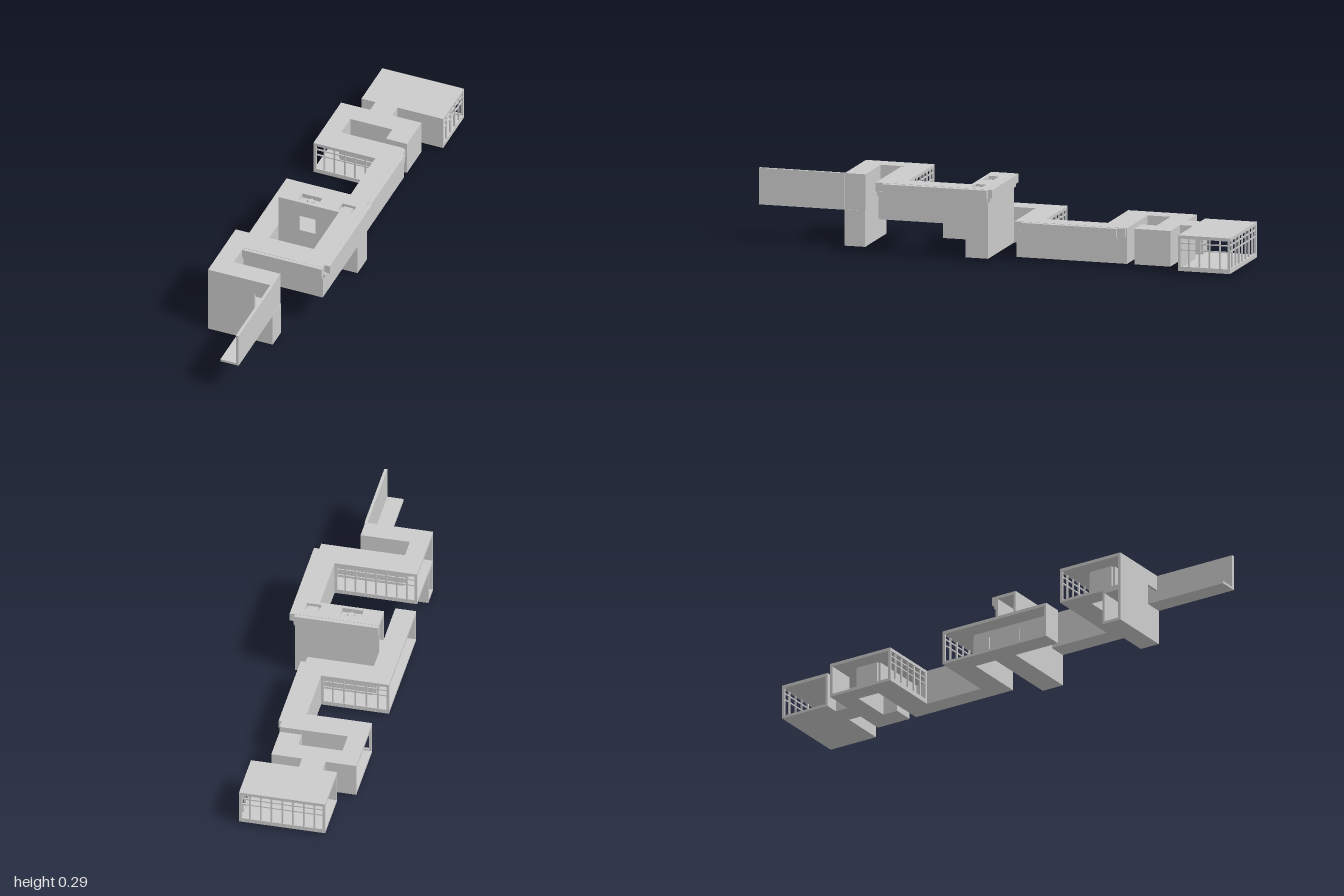
import * as THREE from 'three';

export function createModel() {
  const model = new THREE.Group();
  model.name = 'terracedBuilding';
  const mat = new THREE.MeshStandardMaterial({ color: 0xcccccc, flatShading: true });
  const T = 0.01; // wall thickness

  const box = (parent, name, x0, x1, y0, y1, z0, z1) => {
    const m = new THREE.Mesh(new THREE.BoxGeometry(x1 - x0, y1 - y0, z1 - z0), mat);
    m.position.set((x0 + x1) / 2, (y0 + y1) / 2, (z0 + z1) / 2);
    m.name = name;
    parent.add(m);
    return m;
  };

  // Flat slab from an outline of [x, z] corners, with optional rectangular holes
  const slab = (parent, name, pts, top, thick, holes = []) => {
    const shape = new THREE.Shape(pts.map(p => new THREE.Vector2(p[0], p[1])));
    for (const [x0, x1, z0, z1] of holes) {
      shape.holes.push(new THREE.Path([[x0, z0], [x0, z1], [x1, z1], [x1, z0]]
        .map(p => new THREE.Vector2(p[0], p[1]))));
    }
    const g = new THREE.ExtrudeGeometry(shape, { depth: thick, bevelEnabled: false });
    g.rotateX(Math.PI / 2);
    const m = new THREE.Mesh(g, mat);
    m.position.y = top;
    m.name = name;
    parent.add(m);
  };

  // One facade between two corners; local x runs along it, local z points inward
  const facade = (parent, a, b, type, y0, y1) => {
    const dx = b[0] - a[0], dz = b[1] - a[1], len = Math.hypot(dx, dz);
    const g = new THREE.Group();
    g.position.set(a[0], 0, a[1]);
    g.rotation.y = -Math.atan2(dz, dx);
    parent.add(g);
    if (type === 'wall') {
      g.name = 'solidWall';
      box(g, 'wallPanel', 0, len, y0, y1, 0, T);
    } else if (type === 'door') {
      g.name = 'doorway';
      box(g, 'lintel', 0, len, y1 - 0.05, y1, 0, T);
    } else {
      g.name = type === 'glazed' ? 'windowGrid' : 'openFrame';
      box(g, 'post', 0, T, y0, y1, 0, T);
      box(g, 'post', len - T, len, y0, y1, 0, T);
      if (type === 'glazed') {
        const n = Math.round(len / 0.043), h = y1 - y0;
        for (let i = 1; i < n; i++) {
          const x = i * len / n;
          box(g, 'mullion', x - 0.003, x + 0.003, y0, y1, 0.002, 0.009);
        }
        for (const f of [0.62, 0.84]) {
          box(g, 'transom', 0, len, y0 + f * h - 0.0025, y0 + f * h + 0.0025, 0.003, 0.008);
        }
        box(g, 'sill', 0, len, y0, y0 + 0.007, 0, T);
      }
    }
  };

  // A storey: floor, roof and one facade per outline edge, as [x, z, facade type]
  const storey = (name, edges, y0, y1, holes) => {
    const g = new THREE.Group();
    g.name = name;
    model.add(g);
    slab(g, 'floor', edges, y0 + 0.011, 0.011);
    slab(g, 'roof', edges, y1, 0.013, holes);
    edges.forEach((a, i) =>
      facade(g, a, edges[(i + 1) % edges.length], a[2], y0 + 0.011, y1 - 0.013));
    return g;
  };

  // Winding lower storey
  const lower = storey('lowerStorey', [
    [-0.15, -1, 'glazed'], [0.2, -1, 'glazed'], [0.2, -0.785, 'wall'],
    [0.005, -0.785, 'wall'], [0.005, -0.73, 'wall'], [0.13, -0.73, 'wall'],
    [0.13, -0.58, 'wall'], [0.04, -0.58, 'wall'], [0.04, -0.645, 'wall'],
    [-0.14, -0.645, 'wall'], [-0.14, -0.55, 'wall'], [0.13, -0.55, 'wall'],
    [0.13, -0.09, 'wall'], [-0.14, -0.09, 'wall'], [-0.14, 0.3, 'wall'],
    [-0.225, 0.3, 'wall'], [-0.225, -0.19, 'open'], [-0.225, -0.19, 'glazed'],
    [0.05, -0.19, 'wall'], [0.05, -0.445, 'glazed'], [-0.215, -0.445, 'open'],
    [-0.215, -0.73, 'wall'], [-0.09, -0.73, 'wall'], [-0.09, -0.785, 'wall'],
    [-0.15, -0.785, 'open'],
  ].filter((p, i, all) => i === 0 || p[0] !== all[i - 1][0] || p[1] !== all[i - 1][1])
    .map(p => (p[0] === -0.225 && p[1] === -0.19 ? [p[0], p[1], 'glazed'] : p[0] === -0.225 ? [p[0], p[1], 'open'] : p)),
  0.013, 0.157);
  // End wall of the long gallery
  box(lower, 'galleryEndWall', -0.225, -0.14, 0.024, 0.144, 0.29, 0.3);

  // Winding upper storey with roof lights over the tower
  storey('upperStorey', [
    [-0.14, 0.005, 'wall'], [0.2, 0.005, 'wall'], [0.2, 0.46, 'wall'],
    [-0.14, 0.46, 'wall'], [-0.14, 0.56, 'wall'], [0.06, 0.56, 'wall'],
    [0.06, 0.645, 'door'], [-0.015, 0.645, 'wall'], [-0.215, 0.645, 'open'],
    [-0.215, 0.36, 'glazed'], [0.12, 0.36, 'wall'], [0.12, 0.1, 'wall'],
    [0.02, 0.1, 'door'], [-0.05, 0.1, 'wall'], [-0.14, 0.1, 'open'],
  ], 0.145, 0.293, [[-0.06, 0.025, 0.042, 0.085], [0.11, 0.17, 0.042, 0.085]]);

  // Roof light inserts
  const diamond = box(model, 'roofLight', -0.012, 0.012, 0.27, 0.285, -0.012, 0.012);
  diamond.position.set(-0.015, 0.277, 0.063);
  diamond.rotation.y = Math.PI / 4;
  box(model, 'roofLight', 0.12, 0.16, 0.27, 0.285, 0.046, 0.08);
  box(model, 'roofLightBase', -0.065, 0.175, 0.262, 0.27, 0.037, 0.09);

  // Ground supports under the upper storey
  box(model, 'towerBase', -0.14, 0.2, 0.013, 0.146, 0.005, 0.1);
  storey('frontSupport', [[-0.215, 0.56, 'wall'], [0.062, 0.56, 'wall'],
    [0.062, 0.645, 'wall'], [-0.215, 0.645, 'open']], 0, 0.146);

  // Stepped cornices on the outer faces: [x0, x1, z0, z1] per run
  const cornice = (name, top, runs, strips) => {
    const g = new THREE.Group();
    g.name = name;
    model.add(g);
    for (const [x0, x1, z0, z1] of runs) box(g, 'corniceBand', x0, x1, top - 0.035, top, z0, z1);
    for (const [x0, x1, z0, z1] of strips) box(g, 'corniceStep', x0, x1, top - 0.052, top - 0.035, z0, z1);
  };
  cornice('upperCornice', 0.292,
    [[0.2, 0.222, 0.005, 0.44], [-0.14, 0.2, -0.012, 0.005], [-0.14, 0.2, 0.46, 0.473]],
    [[0.2, 0.207, 0.005, 0.455], [-0.14, 0.2, -0.003, 0.005], [-0.14, 0.2, 0.46, 0.466]]);
  cornice('lowerCornice', 0.156,
    [[0.13, 0.15, -0.51, -0.115], [-0.14, 0.13, -0.09, -0.082], [0.13, 0.138, -0.545, -0.51]],
    [[0.13, 0.137, -0.51, -0.1]]);

  // Entrance bridge: thin parapet wall beside a walkway
  box(model, 'bridgeFloor', -0.015, 0.062, 0.145, 0.155, 0.645, 1);
  box(model, 'bridgeWall', 0.051, 0.063, 0.145, 0.293, 0.645, 1);

  // Door panels along the gallery's inner wall
  for (const z of [-0.04, 0.1, 0.22]) {
    box(model, 'galleryDoor', -0.156, -0.15, 0.024, 0.115, z - 0.025, z + 0.025);
  }
  return model;
}
